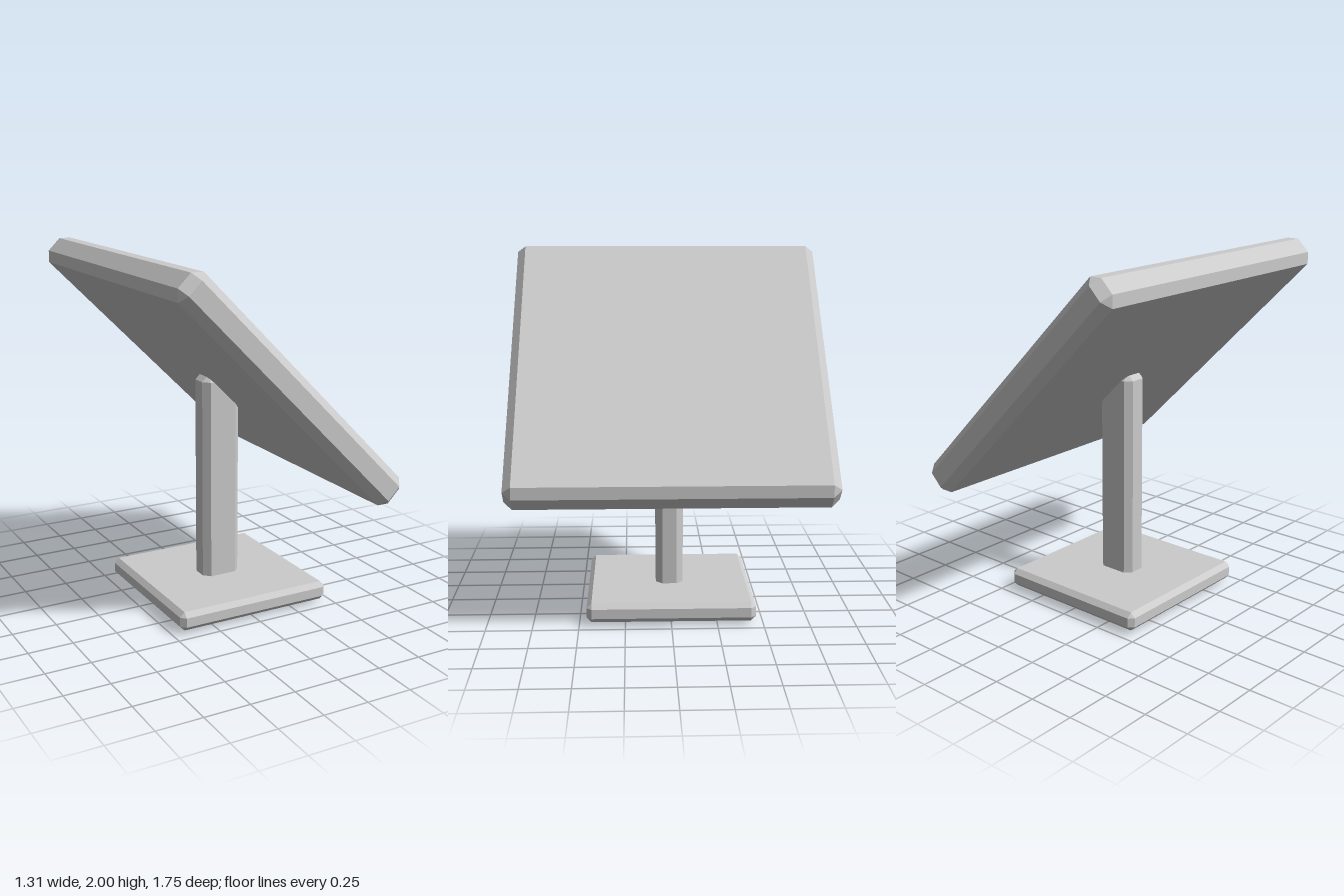
import * as THREE from 'three';
import { ConvexGeometry } from 'three/addons/geometries/ConvexGeometry.js';

const material = new THREE.MeshStandardMaterial({ color: 0xcccccc, flatShading: true });

// Box with every edge cut by one flat chamfer c and a triangle at each corner
function chamferBox(name, w, h, d, c) {
  const points = [];
  for (const sx of [-1, 1]) for (const sy of [-1, 1]) for (const sz of [-1, 1]) {
    for (let face = 0; face < 3; face++) {
      const inset = [c, c, c];
      inset[face] = 0;
      points.push(new THREE.Vector3(
        sx * (w / 2 - inset[0]), sy * (h / 2 - inset[1]), sz * (d / 2 - inset[2])));
    }
  }
  const mesh = new THREE.Mesh(new ConvexGeometry(points), material);
  mesh.name = name;
  return mesh;
}

export function createModel() {
  const model = new THREE.Group();
  model.name = 'tiltedPanelOnStand';

  // Square foot plate
  const base = chamferBox('base', 0.92, 0.107, 0.92, 0.027);
  base.position.y = 0.0715;

  // Post, passing through the base and into the panel
  const post = chamferBox('post', 0.228, 1.305, 0.153, 0.036);
  post.position.y = 1.305 / 2;

  // Square panel, tilted down towards +x
  const panel = chamferBox('panel', 1.753, 0.19, 1.753, 0.047);
  panel.position.y = 1.345;
  panel.rotation.z = -Math.PI / 4;

  model.add(base, post, panel);
  return model;
}
